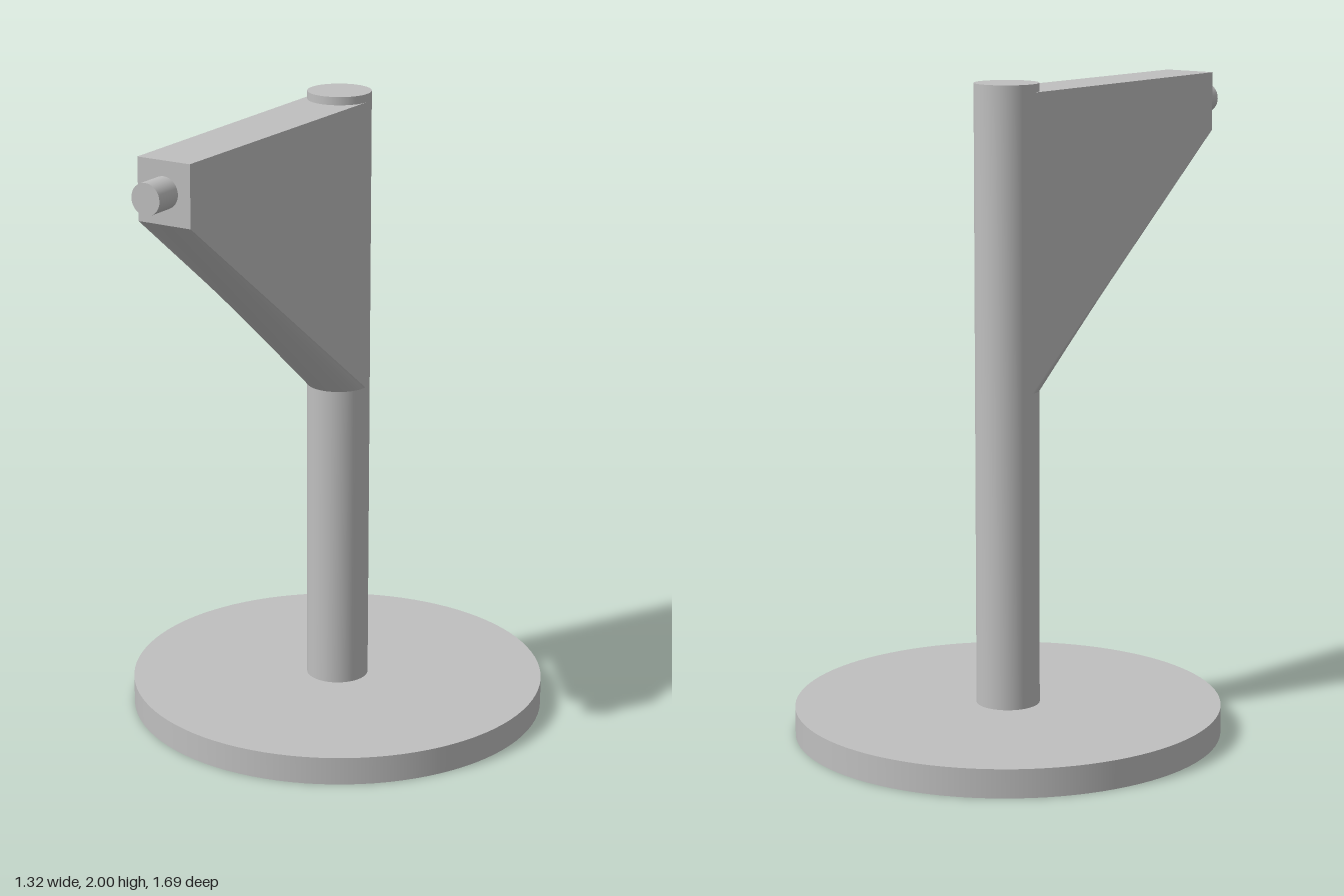
import * as THREE from 'three';
import { mergeGeometries } from 'three/addons/utils/BufferGeometryUtils.js';

const POLE_Z = -0.187, POLE_R = 0.098;

// Ruled surface between two rows of points of equal length
function strip(a, b) {
  const n = a.length, index = [];
  for (let i = 0; i < n - 1; i++) index.push(i, i + 1, n + i, i + 1, n + i + 1, n + i);
  const g = new THREE.BufferGeometry().setFromPoints([...a, ...b]);
  g.setIndex(index);
  g.computeVertexNormals();
  return g;
}

// Bracket lofted from a small flat front face to the round front of the pole
function bracketGeometry() {
  const N = 24, top = 1.975, frontZ = 0.755, halfW = 0.088;
  const front = [], frontTop = [], arc = [], arcTop = [];
  for (let i = 0; i <= N; i++) {
    const t = i / N, a = (t - 0.5) * Math.PI;
    const x = (2 * t - 1) * halfW;
    const ax = Math.sin(a) * POLE_R, az = POLE_Z + Math.cos(a) * POLE_R;
    front.push(new THREE.Vector3(x, 1.79, frontZ));
    frontTop.push(new THREE.Vector3(x, top, frontZ));
    arc.push(new THREE.Vector3(ax, 1.07, az));
    arcTop.push(new THREE.Vector3(ax, top, az));
  }
  return mergeGeometries([
    strip(arc, front), // sloping underside
    strip(frontTop, arcTop), // top
    strip(front, frontTop), // front face
    strip([arc[N], arcTop[N]], [front[N], frontTop[N]]), // left side
    strip([front[0], frontTop[0]], [arc[0], arcTop[0]]), // right side
  ]);
}

export function createModel() {
  const model = new THREE.Group();
  const grey = new THREE.MeshStandardMaterial({ color: 0xbfbfbf });
  grey.name = 'grey';

  function add(name, geometry, x = 0, y = 0, z = 0) {
    const mesh = new THREE.Mesh(geometry, grey);
    mesh.name = name;
    mesh.position.set(x, y, z);
    model.add(mesh);
  }

  // Round foot and upright pole
  add('base', new THREE.CylinderGeometry(0.658, 0.658, 0.088, 96), 0, 0.044, POLE_Z);
  add('pole', new THREE.CylinderGeometry(POLE_R, POLE_R, 1.912, 48), 0, 1.044, POLE_Z);

  // Arm and the pin at its tip
  add('bracket', bracketGeometry());
  add('pin', new THREE.CylinderGeometry(0.047, 0.047, 0.1, 32).rotateX(Math.PI / 2), 0, 1.883, 0.795);

  return model;
}
